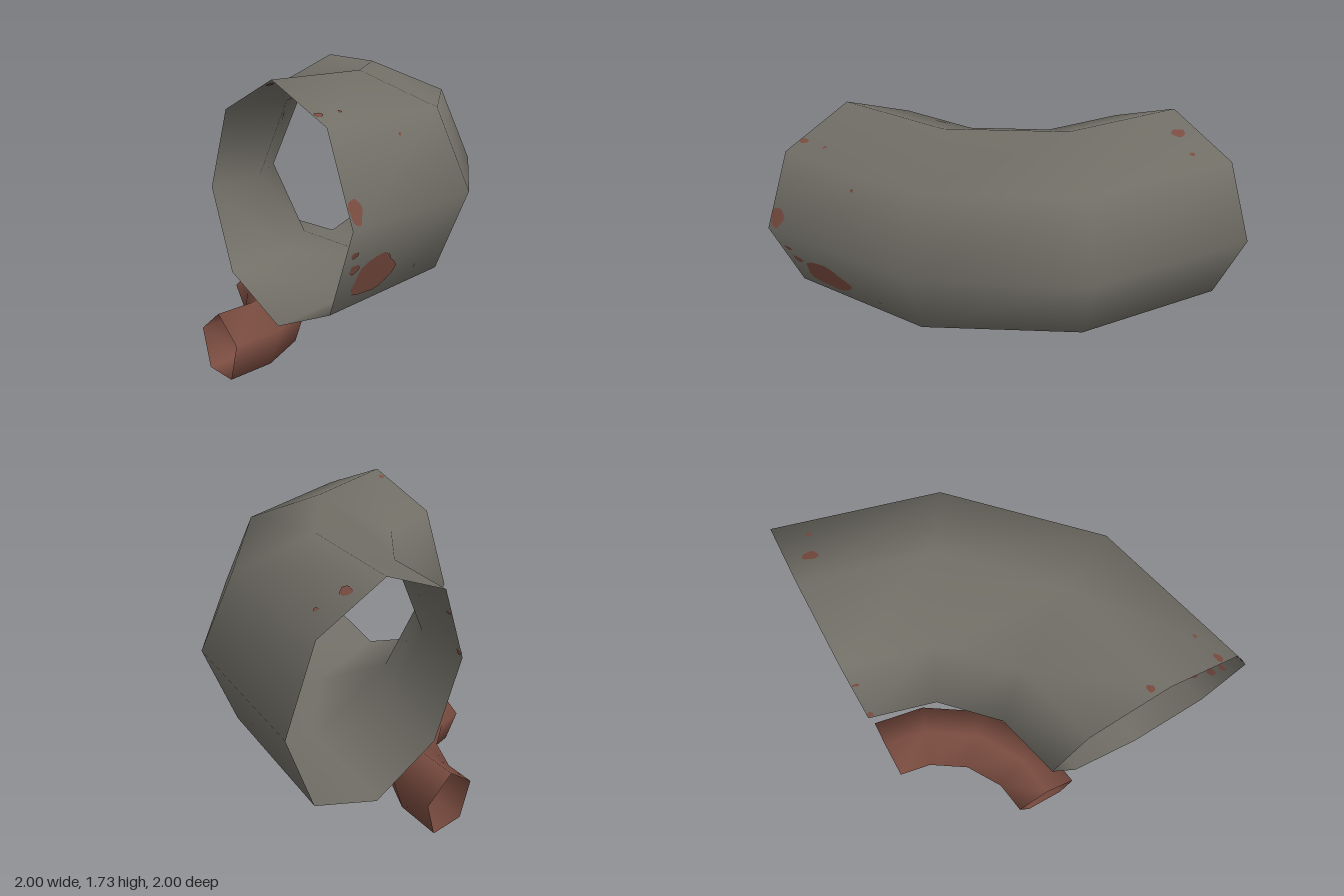
import * as THREE from 'three';

const steel = new THREE.MeshStandardMaterial({ color: 0x726f67, side: THREE.DoubleSide });
steel.name = 'dull steel grey';
const rust = new THREE.MeshStandardMaterial({ color: 0x7a4c40, side: THREE.DoubleSide });
rust.name = 'rust red';

// Corner point of a pipe elbow that bends about the vertical line x = -1, z = 1
function corner(p, i, j) {
  const turn = THREE.MathUtils.degToRad(p.turns[i]);
  const a = p.start + (j / p.sides) * Math.PI * 2;
  const r = p.bend + p.radius * Math.cos(a);
  return new THREE.Vector3(-1 + r * Math.cos(turn), p.y + p.radius * Math.sin(a), 1 - r * Math.sin(turn));
}

// Open, smooth-shaded elbow from a loop of cross-sections
function elbow(p, material, name) {
  const pos = [], index = [], n = p.sides;
  p.turns.forEach((_, i) => {
    for (let j = 0; j < n; j++) pos.push(...corner(p, i, j).toArray());
  });
  for (let i = 0; i < p.turns.length - 1; i++) {
    for (let j = 0; j < n; j++) {
      const k = (j + 1) % n;
      const a = i * n + j, b = a + n, c = (i + 1) * n + k, d = i * n + k;
      index.push(a, b, c, a, c, d);
    }
  }
  const g = new THREE.BufferGeometry();
  g.setAttribute('position', new THREE.Float32BufferAttribute(pos, 3));
  g.setIndex(index);
  g.computeVertexNormals();
  const mesh = new THREE.Mesh(g, material);
  mesh.name = name;
  return mesh;
}

// Point on the faceted surface: u counts sections, v counts sides
function onSurface(p, u, v) {
  u = THREE.MathUtils.clamp(u, 0, p.turns.length - 1);
  const i = Math.min(Math.floor(u), p.turns.length - 2), j = Math.floor(v);
  const low = corner(p, i, j).lerp(corner(p, i + 1, j), u - i);
  const high = corner(p, i, j + 1).lerp(corner(p, i + 1, j + 1), u - i);
  return low.lerp(high, v - j);
}

// Thin blob of rust, laid just outside (+) or inside (-) the wall
function rustPatch(p, [u, v, ru, rv], offset) {
  const c = onSurface(p, u, v), e = 0.01;
  const du = onSurface(p, u + e, v).sub(onSurface(p, u - e, v));
  const dv = onSurface(p, u, v + e).sub(onSurface(p, u, v - e));
  const normal = du.cross(dv).normalize().multiplyScalar(offset);
  const pos = [...c.add(normal).toArray()], index = [], n = 18;
  for (let k = 0; k < n; k++) {
    const a = (k / n) * Math.PI * 2;
    const w = 0.93 + 0.08 * Math.sin(3 * a + u * 9) + 0.06 * Math.sin(5 * a + v * 7);
    const q = onSurface(p, u + ru * w * Math.cos(a), v + rv * w * Math.sin(a));
    pos.push(...q.add(normal).toArray());
    index.push(0, k + 1, ((k + 1) % n) + 1);
  }
  const g = new THREE.BufferGeometry();
  g.setAttribute('position', new THREE.Float32BufferAttribute(pos, 3));
  g.setIndex(index);
  g.computeVertexNormals();
  const mesh = new THREE.Mesh(g, rust);
  mesh.name = 'rustPatch';
  return mesh;
}

export function createModel() {
  const model = new THREE.Group();
  model.name = 'bentPipes';

  // Wide eight-sided pipe and narrow five-sided pipe below it
  const large = { turns: [0, 30, 60, 90], sides: 8, start: 0, bend: 1.372, radius: 0.628, y: 1.1 };
  const small = { turns: [0, 20, 45, 70, 90], sides: 5, start: Math.PI / 2, bend: 0.75, radius: 0.2, y: 0.162 };
  model.add(elbow(large, steel, 'largePipe'), elbow(small, rust, 'smallPipe'));

  // Rust spots: section, side, and half-size along each
  const spots = [
    [0.3, -0.67, 0.19, 0.25], [0.1, -0.5, 0.04, 0.06], [0.05, 0.17, 0.05, 0.14],
    [0.07, -0.31, 0.03, 0.04], [0.56, 0.8, 0.012, 0.022], [0.7, -0.8, 0.012, 0.022],
    [0.37, -1.3, 0.014, 0.04], [0.07, 2.16, 0.035, 0.04], [0.04, 1.23, 0.035, 0.045],
    [0.22, 1.23, 0.014, 0.025], [2.84, 1.61, 0.058, 0.07], [2.8, 1.25, 0.02, 0.03],
    [2.94, 3.35, 0.05, 0.025], [2.95, 3.93, 0.05, 0.05],
  ];
  const patches = new THREE.Group();
  patches.name = 'rustPatches';
  for (const spot of spots) {
    patches.add(rustPatch(large, spot, 0.003), rustPatch(large, spot, -0.003));
  }
  model.add(patches);
  return model;
}
